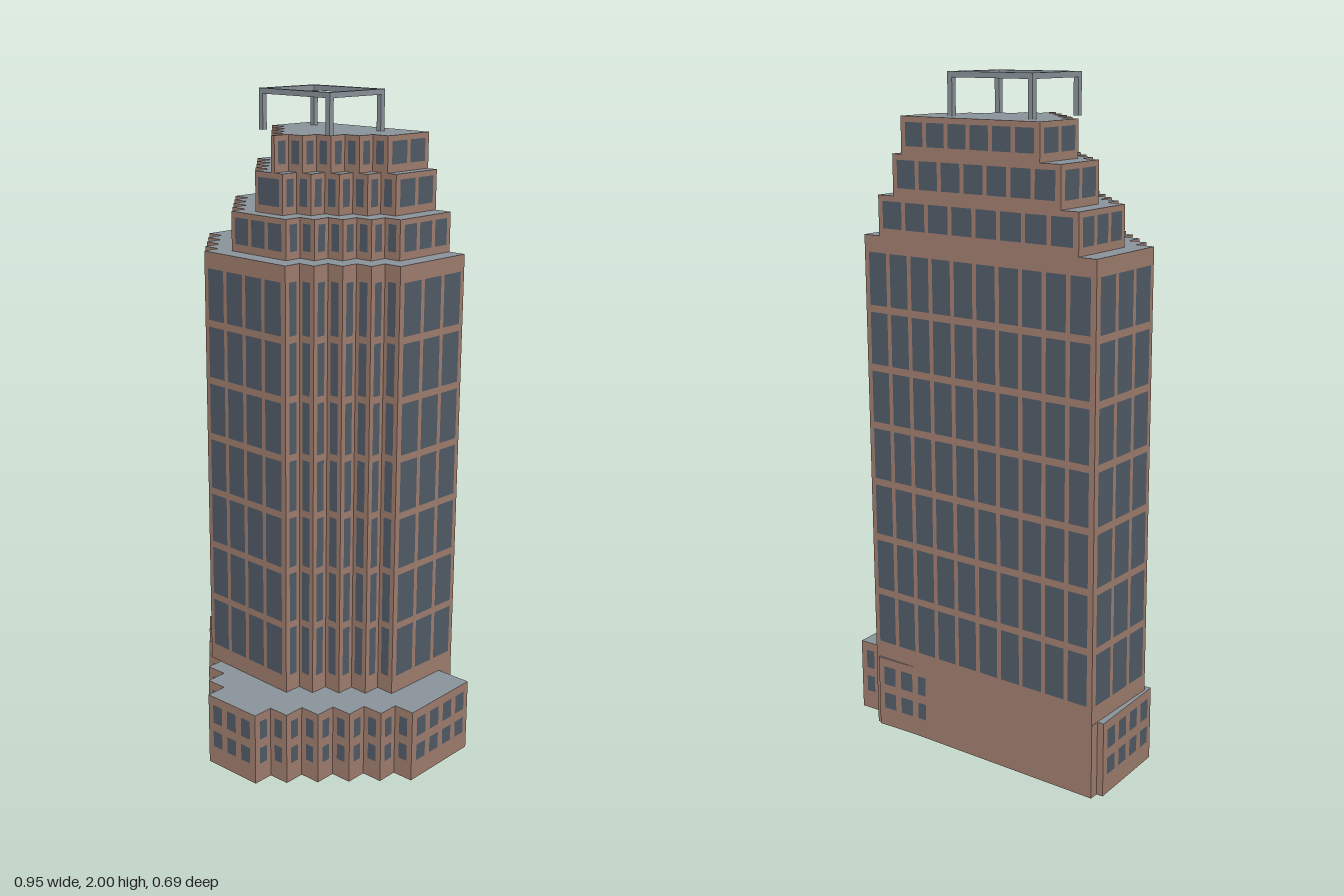
import * as THREE from 'three';
import { mergeGeometries } from 'three/addons/utils/BufferGeometryUtils.js';

const brick = new THREE.MeshStandardMaterial({ color: 0xa17f70, side: THREE.DoubleSide });
brick.name = 'brick';
const glass = new THREE.MeshStandardMaterial({ color: 0x525c68 });
glass.name = 'glass';
const concrete = new THREE.MeshStandardMaterial({ color: 0x8b959c, side: THREE.DoubleSide });
concrete.name = 'concrete';

function addMesh(group, name, geometry, material) {
  const mesh = new THREE.Mesh(geometry, material);
  mesh.name = name;
  group.add(mesh);
  return mesh;
}

// Upright panel on the edge a-b of an outline, placed by its offset along the edge.
function panel(a, b, along, width, y0, y1, out = 0) {
  const dx = b[0] - a[0], dz = b[1] - a[1], len = Math.hypot(dx, dz);
  const g = new THREE.PlaneGeometry(width, y1 - y0);
  g.rotateY(Math.atan2(-dz, dx));
  g.translate(
    a[0] + (dx * along - dz * out) / len,
    (y0 + y1) / 2,
    a[1] + (dz * along + dx * out) / len
  );
  return g;
}

// Stepped plan: narrow front, widening by one step at a time towards the back.
function steppedOutline(cx, halfFront, frontZ, stepX, stepZ, steps, backZ) {
  const left = [], right = [];
  for (let i = 0; i <= steps; i++) {
    const w = halfFront + stepX * i, z = frontZ - stepZ * i;
    const zEnd = i === steps ? backZ : z - stepZ;
    left.unshift([cx - w, zEnd], [cx - w, z]);
    right.push([cx + w, z], [cx + w, zEnd]);
  }
  return [...left, ...right];
}

// Walls, windows and flat roof over one outline.
function storey(name, outline, y0, y1, rows, bay, gap) {
  const group = new THREE.Group();
  group.name = name;
  const walls = [], panes = [];
  outline.forEach((a, i) => {
    const b = outline[(i + 1) % outline.length];
    const len = Math.hypot(b[0] - a[0], b[1] - a[1]);
    if (len < 0.001) return;
    walls.push(panel(a, b, len / 2, len, y0, y1));
    if (len < 0.04) return;
    const n = Math.max(1, Math.round(len / bay));
    const margin = n > 1 ? 0.01 : 0.007;
    const pitch = (len - 2 * margin) / n;
    const width = pitch - gap;
    for (let k = 0; k < n; k++) {
      for (const [low, high] of rows) {
        panes.push(panel(a, b, margin + pitch * (k + 0.5), width, low, high, 0.0015));
      }
    }
  });
  addMesh(group, name + 'Walls', mergeGeometries(walls), brick);
  addMesh(group, name + 'Windows', mergeGeometries(panes), glass);
  const shape = new THREE.Shape(outline.map(([x, z]) => new THREE.Vector2(x, -z)));
  const roof = addMesh(group, name + 'Roof', new THREE.ShapeGeometry(shape), concrete);
  roof.rotation.x = -Math.PI / 2;
  roof.position.y = y1;
  return group;
}

export function createModel() {
  const model = new THREE.Group();
  model.name = 'steppedTower';
  const back = -0.34, step = 0.0577, baseTop = 0.226;

  // Podium, turned slightly, with a notch at the back corner
  const podium = [[-0.506, -0.672], [-0.506, -0.398]];
  for (let i = 5; i >= 0; i--) {
    const w = 0.099 + 0.0675 * i;
    podium.push([-w, -0.066 * (i + 1)], [-w, -0.066 * i]);
  }
  for (let i = 0; i <= 5; i++) {
    const w = 0.0985 + 0.066 * i;
    podium.push([w, -0.066 * i], [w, i < 5 ? -0.066 * (i + 1) : -0.605]);
  }
  podium.push([0.305, -0.605], [0.305, -0.67]);
  const base = storey('podium', podium, 0, baseTop, [[0.06, 0.112], [0.14, 0.2]], 0.067, 0.022);
  base.position.set(0.06, 0, 0.337);
  base.rotation.y = 0.047;
  model.add(base);

  // Main shaft with seven tall window rows
  const floors = [];
  for (let k = 0; k < 7; k++) floors.push([0.28 + 0.176 * k, 0.435 + 0.176 * k]);
  const shaft = steppedOutline(-0.0545, 0.171, 0.163, step, 0.0556, 4, back);
  model.add(storey('shaft', shaft, baseTop, 1.54, floors, 0.082, 0.014));

  // Rear wall of the shaft continued to the ground, with short returns
  const rear = [[-0.457, -0.27], [-0.457, back], [0.348, back], [0.348, -0.27]];
  const rearWalls = [0, 1, 2].map((i) => {
    const a = rear[i + 1], b = rear[i];
    const len = Math.hypot(b[0] - a[0], b[1] - a[1]);
    return panel(a, b, len / 2, len, 0, baseTop);
  });
  addMesh(model, 'rearGroundWall', mergeGeometries(rearWalls), brick);

  // Three set-back crown tiers: centre, half front, front z, bottom, top
  const tiers = [
    [-0.0545, 0.114, 0.105, 1.54, 1.657],
    [-0.0545, 0.057, 0.062, 1.657, 1.775],
    [-0.0375, 0.0065, 0.062, 1.775, 1.88],
  ];
  tiers.forEach(([cx, half, front, y0, y1], i) => {
    const outline = steppedOutline(cx, half, front, step, 0.0562, 4, back);
    model.add(storey('crownTier' + (i + 1), outline, y0, y1, [[y0 + 0.023, y1 - 0.016]], 0.082, 0.014));
  });

  // Open rooftop frame: four posts and a ring of beams
  const frame = new THREE.Group();
  frame.name = 'roofFrame';
  const t = 0.016, w = 0.29, d = 0.23, h = 0.12;
  const bar = (name, sx, sy, sz, x, y, z) =>
    addMesh(frame, name, new THREE.BoxGeometry(sx, sy, sz), concrete).position.set(x, y, z);
  for (const s of [-1, 1]) {
    bar('longBeam', w, t, t, 0, h - t / 2, s * (d - t) / 2);
    bar('crossBeam', t, t, d - 2 * t, s * (w - t) / 2, h - t / 2, 0);
    for (const r of [-1, 1]) {
      bar('post', t, h - t, t, s * (w - t) / 2, (h - t) / 2, r * (d - t) / 2);
    }
  }
  frame.position.set(-0.055, 1.88, -0.153);
  model.add(frame);
  return model;
}
